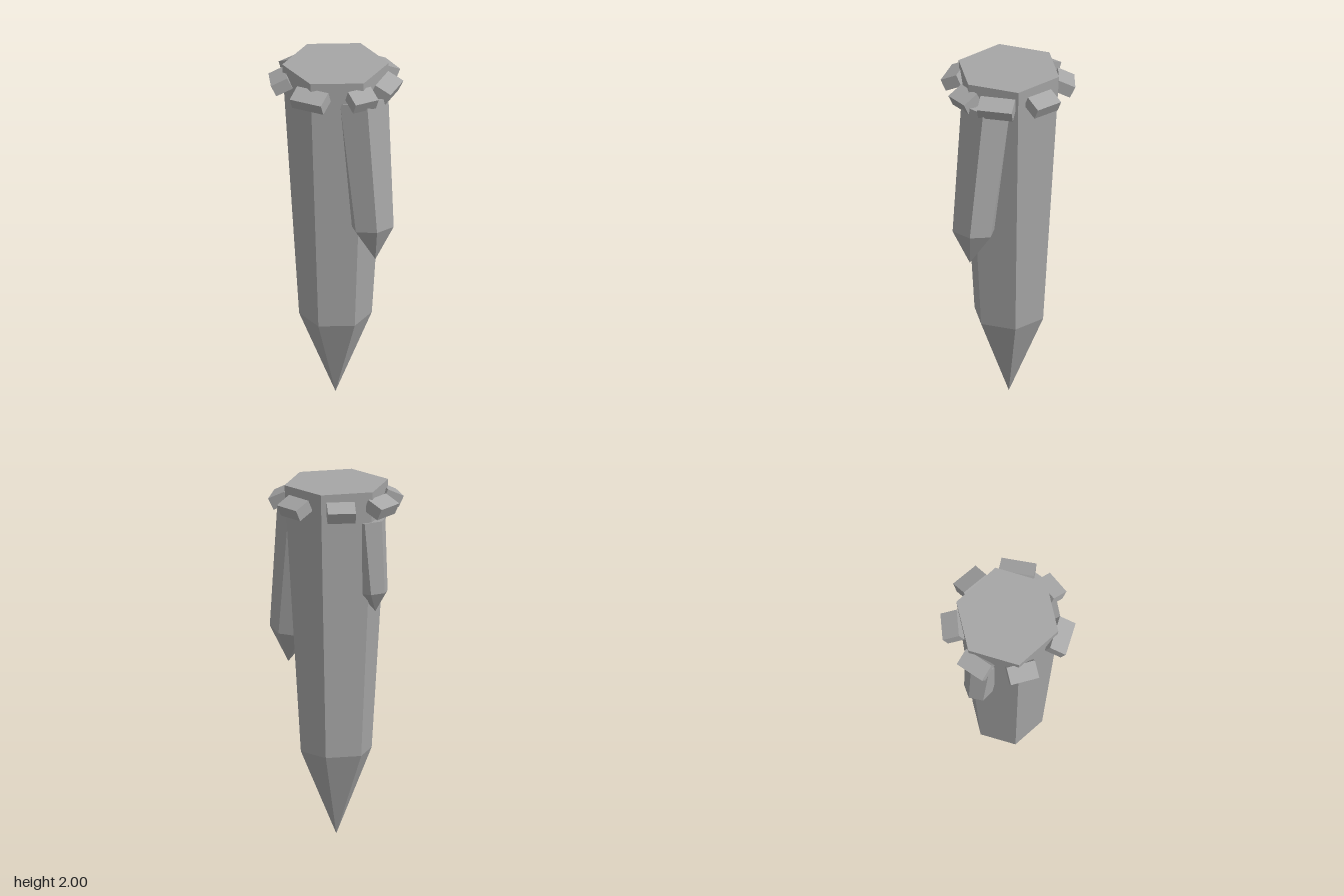
import * as THREE from 'three';

const DEG = Math.PI / 180;

export function createModel() {
  const model = new THREE.Group();
  model.name = 'crystalSpike';
  const stone = new THREE.MeshStandardMaterial({ color: 0xa6a6a6, flatShading: true });
  stone.name = 'grey stone';

  // Six-sided crystal running from its tip up to the centre of its flat end
  function addCrystal(name, tip, end, tipLength, ringRadius, endRadius, spin) {
    const from = new THREE.Vector3(...tip);
    const axis = new THREE.Vector3(...end).sub(from);
    const length = axis.length();
    const profile = [[0, 0], [ringRadius, tipLength], [endRadius, length], [0, length]]
      .map(([r, y]) => new THREE.Vector2(r, y));
    const mesh = new THREE.Mesh(new THREE.LatheGeometry(profile, 6, spin * DEG), stone);
    mesh.name = name;
    mesh.position.copy(from);
    mesh.quaternion.setFromUnitVectors(new THREE.Vector3(0, 1, 0), axis.normalize());
    model.add(mesh);
  }

  addCrystal('mainCrystal', [-0.006, 0, -0.003], [-0.006, 2, -0.003], 0.48, 0.2, 0.293, -12.8);
  addCrystal('largeSideCrystal', [0.271, 0.927, 0.18], [0.168, 1.865, 0.093], 0.192, 0.123, 0.157, 27.2);
  addCrystal('smallSideCrystal', [-0.232, 1.31, -0.152], [-0.19, 1.82, -0.124], 0.107, 0.08, 0.1, -7);

  // Collar of blocks tilted outward: [angle around the crystal, width]
  const blocks = [
    [-120.8, 0.17], [-70.1, 0.162], [-12, 0.193], [44, 0.143],
    [84.1, 0.196], [134.9, 0.162], [189, 0.155],
  ];
  const collar = new THREE.Group();
  collar.name = 'collar';
  collar.position.set(-0.006, 1.906, -0.003);
  for (const [angle, width] of blocks) {
    const arm = new THREE.Group();
    arm.name = 'collarBlock';
    arm.rotation.y = angle * DEG;
    const block = new THREE.Mesh(new THREE.BoxGeometry(width, 0.07, 0.1), stone);
    block.name = 'block';
    block.position.z = 0.303;
    block.rotation.x = 0.45;
    arm.add(block);
    collar.add(arm);
  }
  model.add(collar);

  return model;
}
